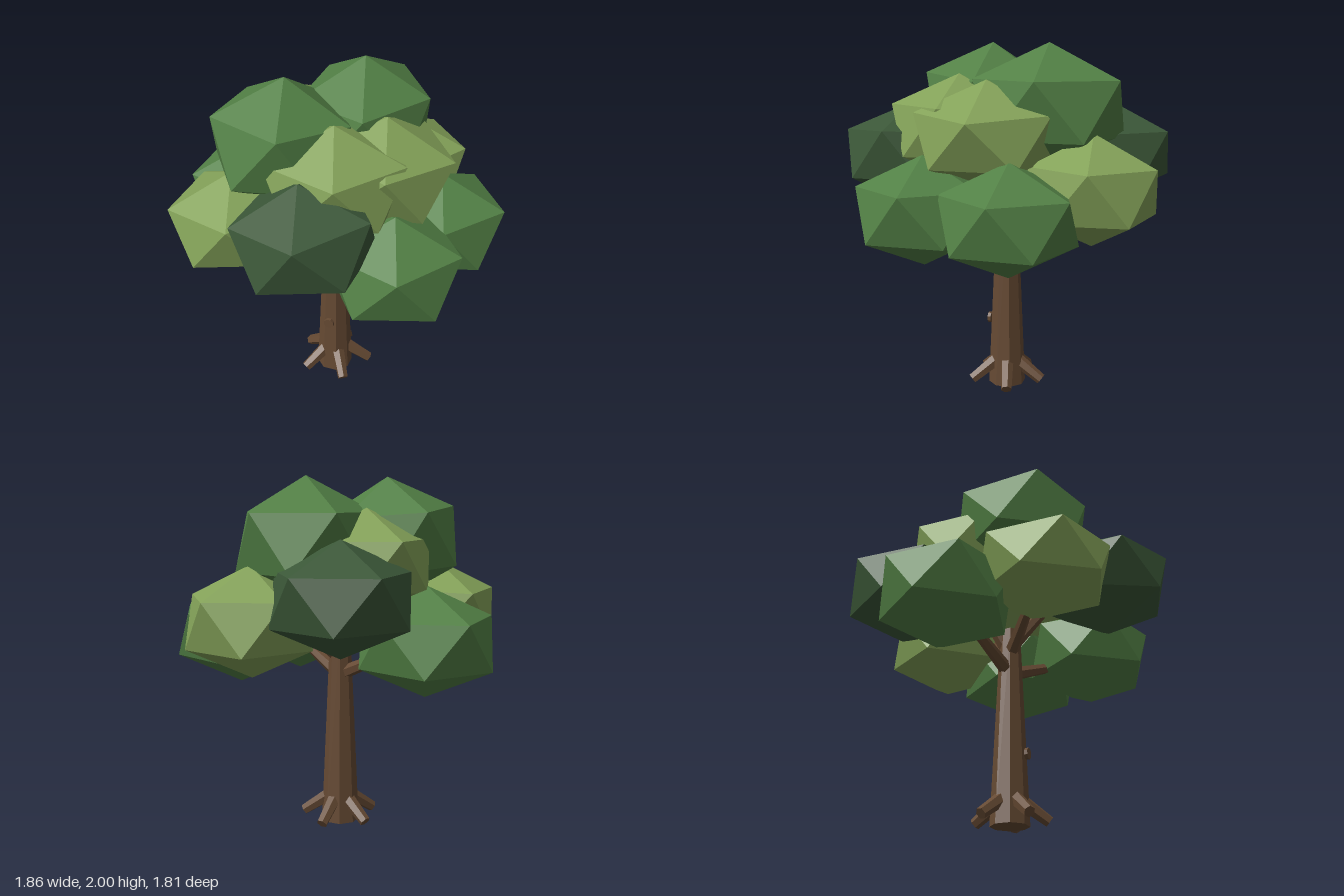
import * as THREE from 'three';

const mat = (name, color) => {
  const m = new THREE.MeshStandardMaterial({ color, flatShading: true });
  m.name = name;
  return m;
};

export function createModel() {
  const tree = new THREE.Group();
  tree.name = 'tree';
  const bark = mat('bark brown', 0x664a33);
  const green = mat('leaf green', 0x528045);
  const light = mat('light leaf green', 0x83a158);
  const dark = mat('dark leaf green', 0x3b5738);

  const add = (name, geometry, material) => {
    const mesh = new THREE.Mesh(geometry, material);
    mesh.name = name;
    tree.add(mesh);
    return mesh;
  };

  // Tapered limb between two points
  const limb = (name, from, to, r0, r1, sides = 6) => {
    const a = new THREE.Vector3(...from), b = new THREE.Vector3(...to);
    const dir = b.clone().sub(a);
    const geometry = new THREE.CylinderGeometry(r1, r0, dir.length(), sides);
    geometry.rotateY(Math.PI / sides);
    const mesh = add(name, geometry, bark);
    mesh.position.copy(a).add(b).multiplyScalar(0.5);
    mesh.quaternion.setFromUnitVectors(new THREE.Vector3(0, 1, 0), dir.normalize());
  };

  // Trunk and knot
  const cz = -0.025;
  limb('trunk', [-0.003, 0, cz], [-0.003, 1.15, cz], 0.109, 0.058, 8);
  limb('knot', [-0.005, 0.39, 0.07], [-0.005, 0.39, 0.089], 0.032, 0.032, 8);

  // Five roots spread around the base
  for (let i = 0; i < 5; i++) {
    const a = THREE.MathUtils.degToRad(58 + 72 * i);
    const at = (r, y) => [Math.cos(a) * r, y, cz + Math.sin(a) * r];
    limb('root', at(0.05, 0.15), at(0.215, 0.035), 0.042, 0.032);
  }

  // Branches reaching into the crown
  [
    [0.88, [-0.32, 1.03, -0.1]],
    [0.88, [0.3, 1.02, 0.12]],
    [1.0, [-0.25, 1.13, 0.18]],
    [0.98, [0.16, 1.16, -0.18]],
    [1.0, [-0.08, 1.3, -0.18]],
    [1.05, [0.1, 1.35, 0.2]],
  ].forEach(([y, end]) => limb('branch', [0, y, cz], end, 0.042, 0.028));

  // Leaf clumps: squashed icosahedra standing on a corner
  const clump = new THREE.IcosahedronGeometry(1, 0);
  clump.rotateZ(Math.atan(2 / (1 + Math.sqrt(5)))).rotateY(Math.PI);
  // [material, centre, radii, rotation]
  [
    [dark, [0.035, 1.36, 0.55], [0.41, 0.3, 0.41], [0, -0.06, 0.1]],
    [dark, [-0.25, 1.38, -0.555], [0.41, 0.3, 0.41], [0, 0.03, 0]],
    [green, [-0.245, 1.65, 0.145], [0.42, 0.35, 0.43], [-0.07, 0, -0.05]],
    [green, [0.08, 1.65, -0.28], [0.41, 0.35, 0.47], [0, 0, 0]],
    [green, [-0.565, 1.13, -0.16], [0.41, 0.3, 0.4], [0, 0, 0]],
    [green, [0.565, 1.12, -0.185], [0.405, 0.3, 0.4], [0, -0.04, 0]],
    [green, [0.44, 1.12, 0.32], [0.4, 0.3, 0.4], [0, 0, 0]],
    [light, [0.265, 1.52, 0.01], [0.435, 0.29, 0.44], [0, 0, -0.1]],
    [light, [0.08, 1.53, 0.23], [0.43, 0.3, 0.42], [0, 0, 0]],
    [light, [-0.23, 1.53, -0.18], [0.39, 0.3, 0.39], [0, 0, 0]],
    [light, [0.265, 1.24, -0.56], [0.39, 0.3, 0.39], [0, 0.08, 0]],
    [light, [-0.435, 1.25, 0.35], [0.4, 0.28, 0.4], [0, 0, 0.05]],
  ].forEach(([material, centre, radii, rotation]) => {
    const mesh = add('leafClump', clump, material);
    mesh.position.set(...centre);
    mesh.scale.set(...radii);
    mesh.rotation.set(...rotation);
  });

  return tree;
}
